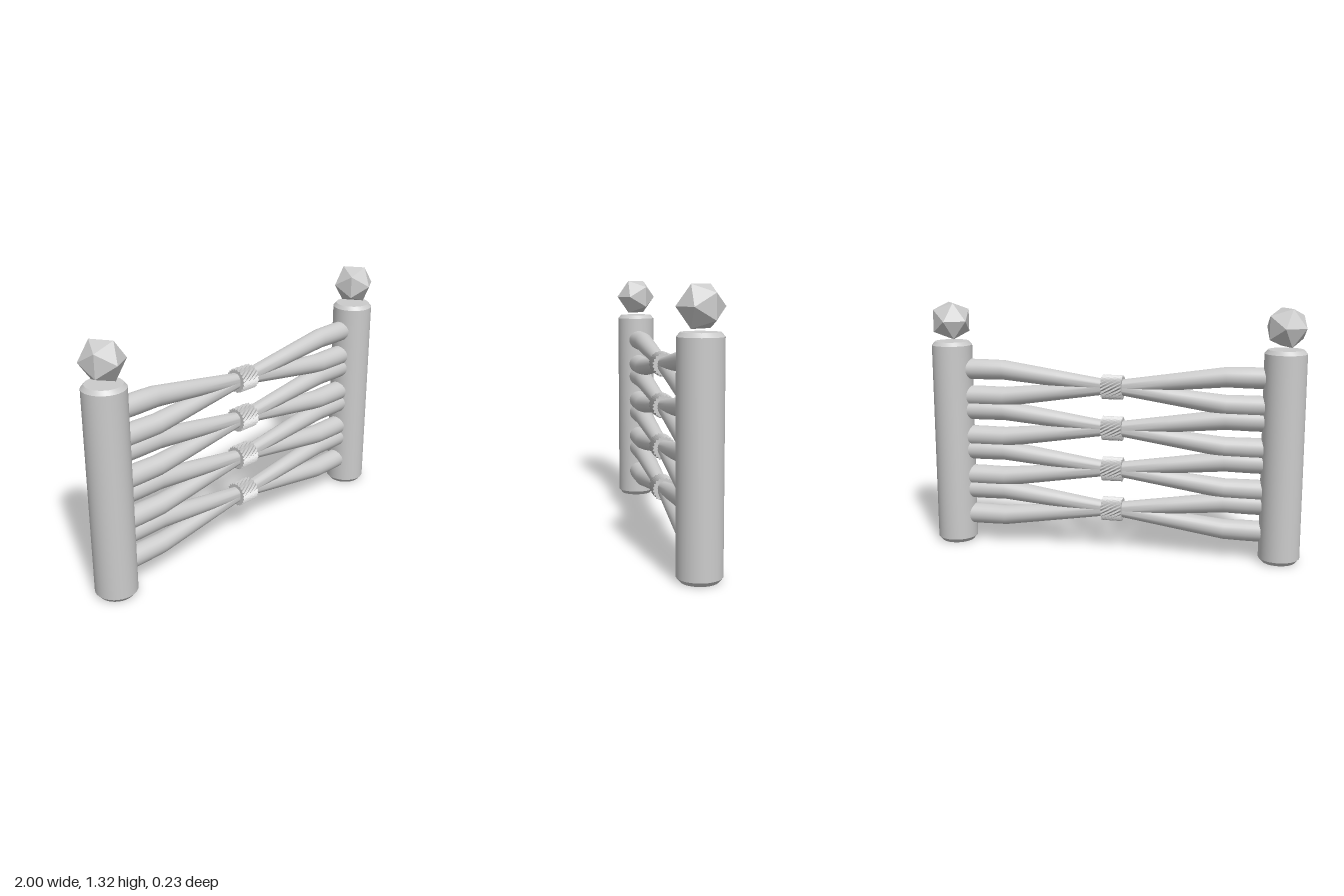
import * as THREE from 'three';
import { toCreasedNormals } from 'three/addons/utils/BufferGeometryUtils.js';

const smooth = new THREE.MeshStandardMaterial({ color: 0xcccccc });
const flat = new THREE.MeshStandardMaterial({ color: 0xcccccc, flatShading: true });

const POST_X = 0.892;
const TIE_HEIGHTS = [0.227, 0.449, 0.671, 0.893];

function lathe(points, sides) {
  return new THREE.LatheGeometry(points.map(([r, y]) => new THREE.Vector2(r, y)), sides);
}

// Move every vertex of a geometry by a rule
function deform(geometry, rule) {
  const pos = geometry.attributes.position;
  const v = new THREE.Vector3();
  for (let i = 0; i < pos.count; i++) {
    rule(v.fromBufferAttribute(pos, i));
    pos.setXYZ(i, v.x, v.y, v.z);
  }
  return geometry;
}

// Tapered strand along x that runs level at its ends and crosses the middle
function strandGeometry(slope) {
  const profile = [
    [0.055, -0.86], [0.055, -0.72], [0.053, -0.6], [0.044, -0.3], [0.035, 0],
    [0.044, 0.3], [0.053, 0.6], [0.055, 0.72], [0.055, 0.86],
  ];
  const geometry = lathe(profile, 24).rotateZ(-Math.PI / 2);
  deform(geometry, (v) => {
    v.y += slope * 0.073 * THREE.MathUtils.clamp(v.x / 0.6, -1, 1);
  });
  return toCreasedNormals(geometry, 0.6);
}

// Short binding with ridges twisted around the x axis
function bindingGeometry() {
  const ridges = 20;
  const geometry = new THREE.CylinderGeometry(0.065, 0.065, 0.11, ridges * 2, 6);
  geometry.rotateZ(-Math.PI / 2);
  return deform(geometry, (v) => {
    const angle = Math.atan2(v.y, v.z);
    const step = Math.round((angle / Math.PI) * ridges);
    const r = Math.hypot(v.y, v.z) * (step % 2 === 0 ? 1 : 0.87);
    const twisted = angle + v.x * 9;
    v.y = r * Math.sin(twisted);
    v.z = r * Math.cos(twisted);
  });
}

export function createModel() {
  const model = new THREE.Group();
  const add = (name, geometry, material, x, y) => {
    const mesh = new THREE.Mesh(geometry, material);
    mesh.name = name;
    mesh.position.set(x, y, 0);
    model.add(mesh);
    return mesh;
  };

  // Chamfered posts with floating faceted finials
  const post = toCreasedNormals(lathe([
    [0, 0], [0.089, 0], [0.108, 0.022], [0.108, 1.095], [0.091, 1.115], [0, 1.115],
  ], 32), 0.5);
  const finial = new THREE.IcosahedronGeometry(0.113, 0);
  for (const [side, sign] of [['left', 1], ['right', -1]]) {
    add(side + 'Post', post, smooth, sign * POST_X, 0);
    add(side + 'Finial', finial, flat, sign * POST_X, 1.226).rotation.y = -1.02;
  }

  // Crossed strands gathered by a binding in the middle of each row
  const rising = strandGeometry(1);
  const falling = strandGeometry(-1);
  const binding = bindingGeometry();
  TIE_HEIGHTS.forEach((y, i) => {
    add('risingStrand' + (i + 1), rising, smooth, 0, y);
    add('fallingStrand' + (i + 1), falling, smooth, 0, y);
    add('binding' + (i + 1), binding, flat, 0, y);
  });

  return model;
}
